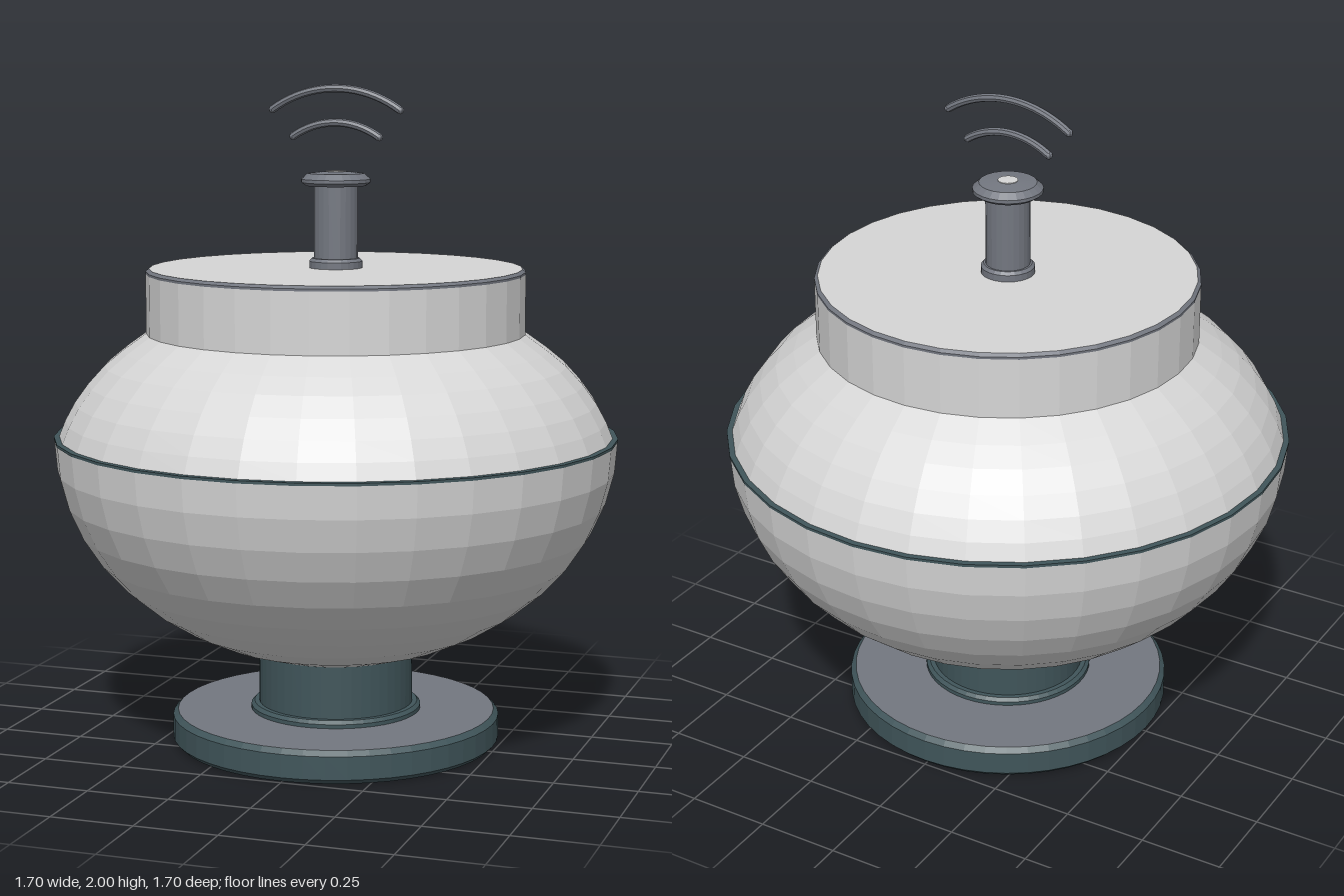
import * as THREE from 'three';

const mat = (name, color, flatShading = false) => {
  const m = new THREE.MeshStandardMaterial({ color, flatShading });
  m.name = name;
  return m;
};

export function createModel() {
  const shell = mat('pale shell', 0xd6d6d6, true);
  const steel = mat('grey steel', 0x737780, true);
  const slate = mat('dark slate', 0x40555a, true);

  const group = new THREE.Group();
  const add = (name, geometry, material) => {
    const mesh = new THREE.Mesh(geometry, material);
    mesh.name = name;
    group.add(mesh);
    return mesh;
  };
  // Turned part from [radius, height] pairs, listed bottom to top
  const turn = (name, points, material, sides = 32) =>
    add(name, new THREE.LatheGeometry(points.map(p => new THREE.Vector2(...p)), sides), material);

  // Foot: chamfered disc with a grey top face, collar and column
  turn('footDisc', [[0, 0], [0.485, 0], [0.5, 0.015], [0.5, 0.085], [0.485, 0.1]], slate, 48);
  turn('footTop', [[0.485, 0.1], [0, 0.1]], steel, 48);
  turn('footCollar', [[0.26, 0.1], [0.26, 0.112], [0.25, 0.122], [0.23, 0.122]], slate, 48);
  turn('column', [[0.235, 0.1], [0.235, 0.3], [0, 0.3]], slate, 48);

  // Lower bowl: part of an ellipse, from the column out to the seam
  const bowl = [[0, 0.29]];
  const start = Math.asin(0.66 / 0.69);
  for (let i = 0; i <= 9; i++) {
    const a = start * (1 - i / 9);
    bowl.push([0.85 * Math.cos(a), 0.945 - 0.69 * Math.sin(a)]);
  }
  turn('lowerBowl', bowl, shell);

  // Seam ledge between the two halves
  turn('seam', [[0.851, 0.943], [0.851, 0.951], [0.83, 0.952]], slate);

  // Upper shoulder and neck
  turn('shoulder', [[0.835, 0.95], [0.815, 1.0], [0.785, 1.055], [0.745, 1.11],
    [0.695, 1.165], [0.64, 1.21], [0.57, 1.26]], shell);
  turn('neck', [[0.57, 1.26], [0.57, 1.44]], shell);
  turn('neckRim', [[0.57, 1.44], [0.57, 1.447], [0.56, 1.455]], steel);
  turn('lid', [[0.56, 1.455], [0, 1.455]], shell);

  // Antenna post with collar and domed cap
  turn('antennaCollar', [[0.08, 1.455], [0.08, 1.475], [0.072, 1.484], [0.06, 1.484]], steel, 24);
  turn('antennaPost', [[0.066, 1.45], [0.066, 1.71]], steel, 24);
  turn('antennaCap', [[0.06, 1.7], [0.09, 1.7], [0.104, 1.71], [0.104, 1.72],
    [0.085, 1.737], [0.035, 1.742], [0, 1.742]], steel, 24);
  turn('capLight', [[0.03, 1.742], [0.03, 1.744], [0, 1.745]], shell, 16);

  // Signal waves: two arcs with round ends
  const tube = 0.012;
  for (const [name, half, endY, topY] of [
    ['innerWave', 0.135, 1.845, 1.887],
    ['outerWave', 0.2, 1.925, 1.988],
  ]) {
    const sag = topY - endY;
    const radius = (half * half + sag * sag) / (2 * sag);
    const angle = Math.asin(half / radius);
    const arc = add(name, new THREE.TorusGeometry(radius, tube, 8, 20, 2 * angle), steel);
    arc.rotation.z = Math.PI / 2 - angle;
    arc.position.y = topY - radius;
    for (const side of [-1, 1]) {
      const end = add(name + 'End', new THREE.SphereGeometry(tube, 8, 6), steel);
      end.position.set(side * half, endY, 0);
    }
  }
  return group;
}
